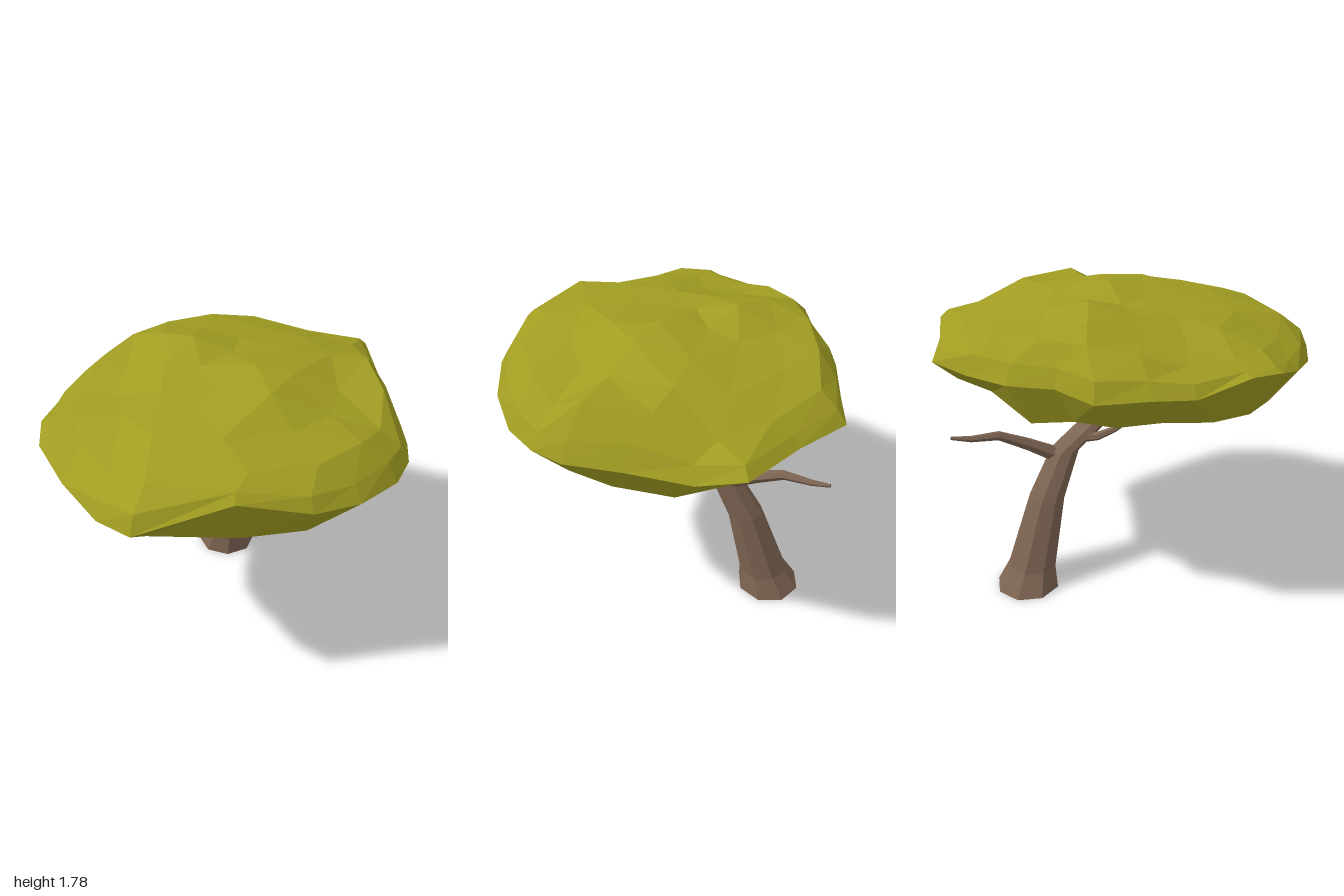
import * as THREE from 'three';

const bark = new THREE.MeshStandardMaterial({ color: 0x7d6452, flatShading: true, side: THREE.DoubleSide });
const leaf = new THREE.MeshStandardMaterial({ color: 0xa09c22, flatShading: true });

// Joins a stack of closed rings, which may differ in point count; one-point rings close the ends.
function loft(name, rings, material) {
  const pos = [];
  const tri = (a, b, c) => {
    if (a !== b && b !== c && a !== c) [a, b, c].forEach((p) => pos.push(p.x, p.y, p.z));
  };
  for (let k = 0; k + 1 < rings.length; k++) {
    const a = rings[k], b = rings[k + 1];
    const na = a.length, nb = b.length;
    let i = 0, j = 0;
    while (i < na || j < nb) {
      const stepA = j >= nb || (i < na && (i + 0.5) / na <= (j + 0.5) / nb);
      if (stepA) {
        tri(a[i % na], b[j % nb], a[(i + 1) % na]);
        i++;
      } else {
        tri(a[i % na], b[j % nb], b[(j + 1) % nb]);
        j++;
      }
    }
  }
  const geo = new THREE.BufferGeometry();
  geo.setAttribute('position', new THREE.Float32BufferAttribute(pos, 3));
  geo.computeVertexNormals();
  const mesh = new THREE.Mesh(geo, material);
  mesh.name = name;
  return mesh;
}

// Limb, open at its foot, through stations [x, y, z, radius, second radius]; level keeps its rings horizontal.
function limb(name, stations, sides, level = false) {
  const pts = stations.map((s) => new THREE.Vector3(s[0], s[1], s[2]));
  const rings = stations.map(([, , , ru, rv = ru], k) => {
    const n = level
      ? new THREE.Vector3(0, 1, 0)
      : pts[Math.min(k + 1, pts.length - 1)].clone().sub(pts[Math.max(k - 1, 0)]).normalize();
    const u = new THREE.Vector3(1, 0, 0).addScaledVector(n, -n.x).normalize();
    const v = u.clone().cross(n);
    return Array.from({ length: sides }, (_, i) => {
      const t = (i / sides) * Math.PI * 2;
      return pts[k].clone().addScaledVector(u, ru * Math.cos(t)).addScaledVector(v, rv * Math.sin(t));
    });
  });
  return loft(name, [...rings, [pts[pts.length - 1]]], bark);
}

// Canopy outline, clockwise from the back: x, z, rim height
const outline = [
  [0.25, -1, 1.45], [0.55, -0.84, 1.46], [0.9, -0.7, 1.47], [0.94, -0.45, 1.4], [0.96, -0.1, 1.39],
  [0.98, 0.24, 1.36], [0.95, 0.42, 1.37], [0.85, 0.61, 1.38], [0.63, 0.81, 1.41], [0.38, 0.93, 1.45],
  [0, 0.97, 1.55], [-0.5, 1, 1.4], [-0.67, 0.86, 1.39], [-0.85, 0.62, 1.44], [-0.98, 0.4, 1.52],
  [-0.99, 0.2, 1.54], [-0.94, -0.1, 1.47], [-0.84, -0.3, 1.47], [-0.7, -0.54, 1.45], [-0.49, -0.64, 1.48],
  [-0.28, -0.81, 1.46], [0, -0.91, 1.44],
];

// Humps and hollows of the crown and the underside: x, y, z
const crown = [
  [-0.22, 1.78, -0.27], [0.18, 1.77, 0.1], [0.15, 1.76, 0.37], [-0.3, 1.7, 0.1], [0.25, 1.71, -0.25],
  [0, 1.63, 0.85], [0.25, 1.62, 0.7], [0.6, 1.57, 0.7], [0.64, 1.63, 0.45], [0.8, 1.67, 0.08],
  [0.8, 1.66, -0.15], [0.83, 1.57, -0.42], [0.5, 1.69, -0.05], [0.45, 1.64, -0.5], [0.1, 1.66, -0.64],
  [0.4, 1.55, -0.78], [-0.35, 1.68, -0.58], [-0.6, 1.65, -0.17], [-0.75, 1.59, 0.04], [-0.86, 1.57, 0.3],
  [-0.55, 1.64, 0.4], [-0.25, 1.69, 0.52], [-0.4, 1.6, 0.77], [-0.7, 1.53, 0.6], [0.85, 1.55, 0.35],
];
const underside = [
  [0.83, 1.19, 0.08], [0.83, 1.19, -0.15], [0.43, 1.17, -0.33], [-0.1, 1.18, -0.48], [0, 1.22, 0.1],
  [0.45, 1.19, 0.4], [0.3, 1.23, 0.7], [-0.4, 1.29, 0.88], [-0.3, 1.22, 0.6], [-0.5, 1.22, 0.15],
  [-0.8, 1.27, 0.3], [-0.75, 1.3, -0.2], [-0.55, 1.28, -0.45], [0.4, 1.26, -0.66], [0.5, 1.34, -0.8],
  [0.1, 1.34, -0.85], [0.78, 1.33, -0.6], [0.75, 1.26, 0.55],
];

// Height of a point blended from the nearest humps
function heightAt(field, x, z) {
  let sum = 0, total = 0;
  for (const [px, py, pz] of field) {
    const w = 1 / (((px - x) ** 2 + (pz - z) ** 2) ** 2 + 1e-5);
    sum += w * py;
    total += w;
  }
  return sum / total;
}

function canopy() {
  let seed = 7;
  const noise = () => {
    seed = (seed * 16807) % 2147483647;
    return (seed / 2147483647) * 2 - 1;
  };
  // count, scale, height field, share of rim height, jitter
  const layers = [
    [7, 0.36, underside, 0, 0.02], [13, 0.65, underside, 0, 0.02], [20, 0.87, underside, 0, 0.01],
    [22, 1, underside, 1, 0], [22, 0.95, crown, 0.5, 0.008], [18, 0.84, crown, 0, 0.015],
    [13, 0.62, crown, 0, 0.02], [8, 0.38, crown, 0, 0.02], [4, 0.16, crown, 0, 0.01],
  ];
  const rings = layers.map(([count, scale, field, share, jitter]) =>
    Array.from({ length: count }, (_, i) => {
      const f = (i / count) * outline.length;
      const a = outline[Math.floor(f)], b = outline[(Math.floor(f) + 1) % outline.length];
      const [ox, oz, rim] = a.map((v, c) => THREE.MathUtils.lerp(v, b[c], f % 1));
      const s = scale + noise() * jitter;
      const y = THREE.MathUtils.lerp(heightAt(field, ox * s, oz * s), rim, share);
      return new THREE.Vector3(ox * s, y + noise() * jitter * 0.5, oz * s);
    }));
  const pole = (field) => [new THREE.Vector3(0, heightAt(field, 0, 0), 0)];
  return loft('canopy', [pole(underside), ...rings, pole(crown)], leaf);
}

export function createModel() {
  const group = new THREE.Group();
  group.name = 'tree';

  // Leaning trunk with a flared foot
  group.add(limb('trunk', [
    [0.03, 0, -0.6, 0.19], [0.04, 0.13, -0.56, 0.145], [0.06, 0.55, -0.435, 0.107],
    [0.08, 0.82, -0.295, 0.084], [0.05, 1.0, -0.07, 0.083, 0.08], [0.02, 1.2, 0.175, 0.08, 0.065],
    [0, 1.36, 0.37, 0.06, 0.05],
  ], 8, true));

  // Long rear branch and two short ones
  group.add(limb('rearBranch', [
    [0.09, 0.77, -0.32, 0.05], [0.13, 0.88, -0.51, 0.037], [0.16, 0.965, -0.68, 0.027],
    [0.18, 0.975, -0.84, 0.018], [0.2, 1.0, -0.95, 0.01],
  ], 6));
  group.add(limb('rightBranch', [
    [0.06, 0.88, -0.22, 0.034], [-0.04, 0.91, -0.14, 0.025], [-0.1, 0.96, -0.06, 0.018], [-0.14, 1.01, 0.0, 0.01],
  ], 6));
  group.add(limb('upperBranch', [
    [0.06, 1.02, -0.05, 0.035], [0.14, 1.13, -0.16, 0.027], [0.22, 1.19, -0.23, 0.02], [0.25, 1.28, -0.27, 0.01],
  ], 6));

  group.add(canopy());
  return group;
}
